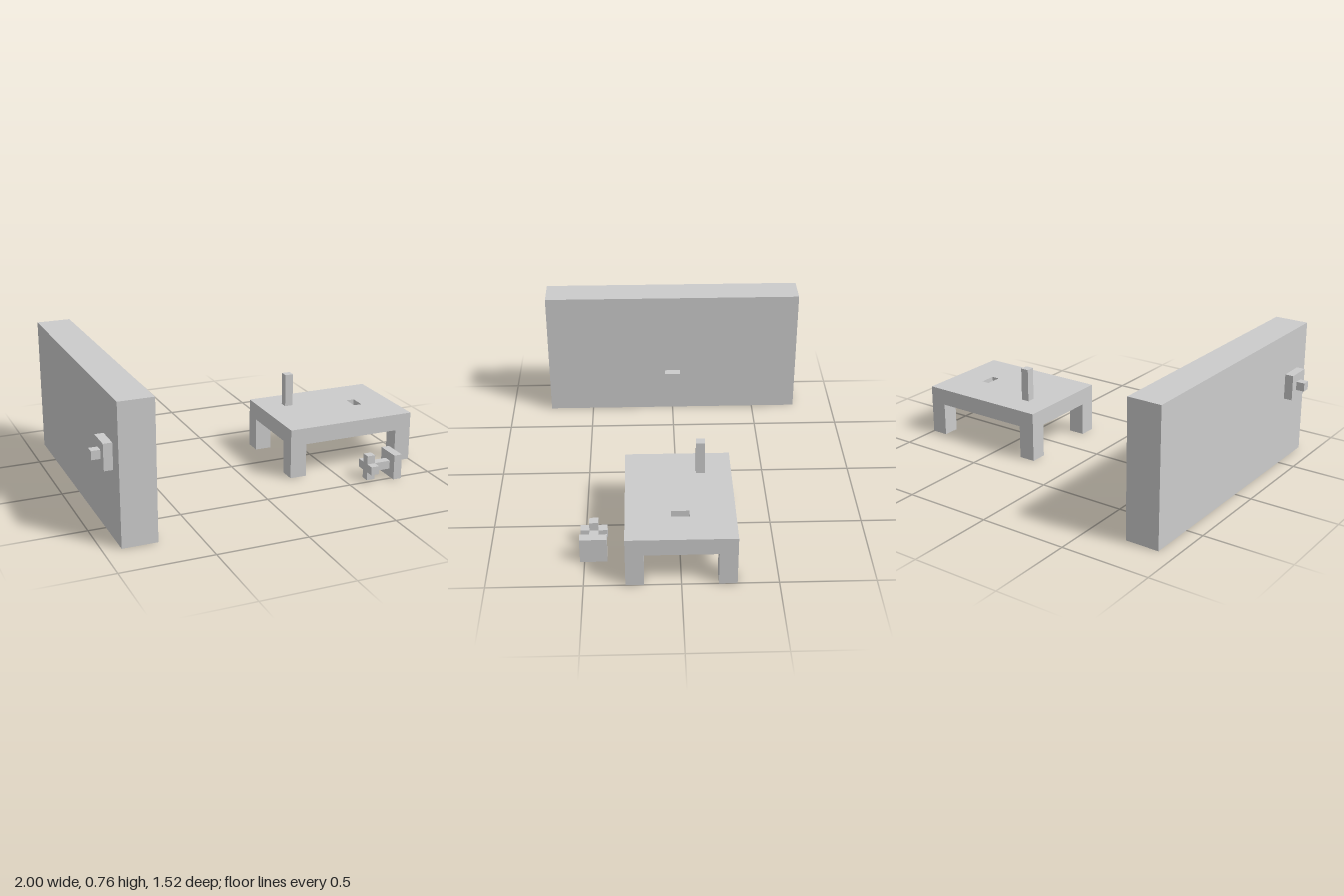
import * as THREE from 'three';
import { mergeGeometries } from 'three/addons/utils/BufferGeometryUtils.js';

const U = 2 / 42; // everything sits on a grid of this size
const material = new THREE.MeshStandardMaterial({ color: 0xcccccc, flatShading: true });

// Box given by its minimum and maximum corners in grid units
function addBox(parent, name, [x0, y0, z0], [x1, y1, z1]) {
  const mesh = new THREE.Mesh(new THREE.BoxGeometry(x1 - x0, y1 - y0, z1 - z0), material);
  mesh.position.set((x0 + x1) / 2, (y0 + y1) / 2, (z0 + z1) / 2);
  mesh.name = name;
  parent.add(mesh);
}

// Box without its +z face, optionally turned inside out
function openBox(w, h, d, inward) {
  const g = new THREE.BoxGeometry(w, h, d);
  const index = [...g.index.array];
  index.splice(24, 6);
  if (inward) index.reverse();
  g.setIndex(index);
  return g;
}

// Centred block with a shallow rectangular pocket in its +z face
function pocketBlock(w, h, d, cx, cy, pw, ph, depth) {
  const rect = (C, x, y, a, b) => new C([[-1, -1], [1, -1], [1, 1], [-1, 1]]
    .map(([i, j]) => new THREE.Vector2(x + i * a / 2, y + j * b / 2)));
  const face = rect(THREE.Shape, 0, 0, w, h);
  face.holes.push(rect(THREE.Path, cx, cy, pw, ph));
  const g = mergeGeometries([
    openBox(w, h, d, false),
    new THREE.ShapeGeometry(face).translate(0, 0, d / 2),
    openBox(pw, ph, depth, true).translate(cx, cy, (d - depth) / 2),
  ]);
  g.computeVertexNormals();
  return g;
}

function group(parent, name) {
  const g = new THREE.Group();
  g.name = name;
  parent.add(g);
  return g;
}

export function createModel() {
  const model = new THREE.Group();
  model.name = 'model';
  model.scale.setScalar(U);

  // Wall with a slot on its inner side and a knob on its outer side
  const wall = group(model, 'wall');
  const panel = new THREE.Mesh(pocketBlock(32, 16, 4, 0, -2.5, 2, 1, 1).rotateY(Math.PI / 2), material);
  panel.name = 'wallPanel';
  panel.position.set(-17, 8, 0);
  wall.add(panel);
  addBox(wall, 'knobPlate', [-20, 8, 11], [-19, 11, 14]);
  addBox(wall, 'knob', [-21, 9, 12], [-20, 10, 13]);

  // Table with a slot and an upright post
  const table = group(model, 'table');
  const top = new THREE.Mesh(pocketBlock(16, 12, 2, 3.5, 0, 1, 2, 1).rotateX(-Math.PI / 2), material);
  top.name = 'tableTop';
  top.position.set(13, 5, 0);
  table.add(top);
  for (const x of [5, 19]) {
    for (const z of [-6, 4]) addBox(table, 'tableLeg', [x, 0, z], [x + 2, 4, z + 2]);
  }
  addBox(table, 'post', [8, 6, -3], [9, 10, -2]);

  // Loose handle: square plate, shaft and cross-shaped end
  const handle = group(model, 'handle');
  addBox(handle, 'handlePlate', [16, 0, 8], [17, 3, 11]);
  addBox(handle, 'handleShaft', [13, 1, 9], [16, 2, 10]);
  for (const y of [0, 2]) addBox(handle, 'crossArmVertical', [13, y, 9], [14, y + 1, 10]);
  for (const z of [8, 10]) addBox(handle, 'crossArmSide', [13, 1, z], [14, 2, z + 1]);

  const root = new THREE.Group();
  root.name = 'wallTableAndHandle';
  root.add(model);
  return root;
}
